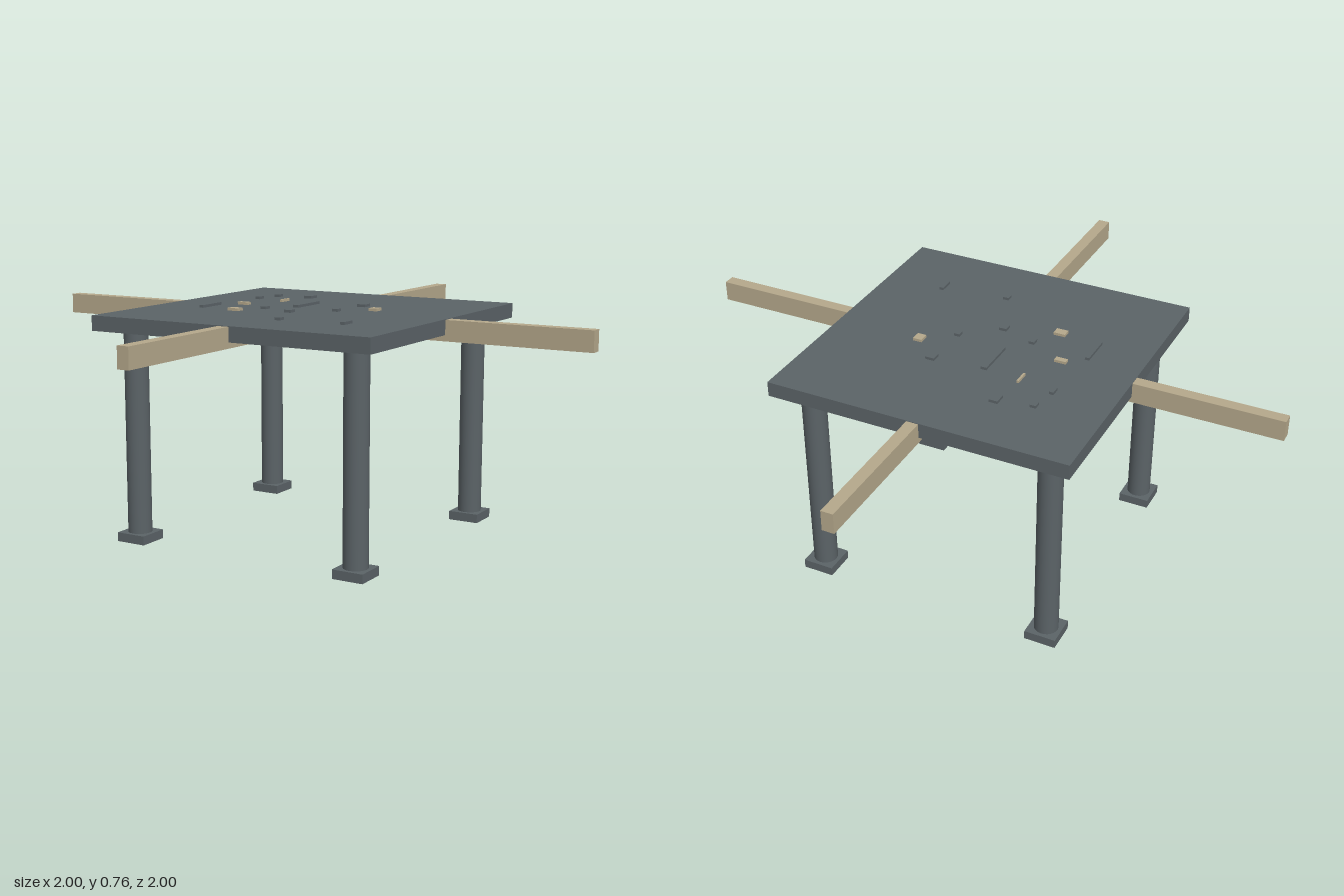
import * as THREE from 'three';

export function createModel() {
  const model = new THREE.Group();
  model.name = 'table';
  const slate = new THREE.MeshStandardMaterial({ color: 0x5b6367 });
  slate.name = 'slate grey';
  const wood = new THREE.MeshStandardMaterial({ color: 0xb5a88b });
  wood.name = 'pale wood';

  const add = (parent, name, geometry, material, x, y, z) => {
    const mesh = new THREE.Mesh(geometry, material);
    mesh.name = name;
    mesh.position.set(x, y, z);
    parent.add(mesh);
    return mesh;
  };
  const box = (w, h, d) => new THREE.BoxGeometry(w, h, d);

  // Square slab
  add(model, 'tableTop', box(1.02, 0.05, 1.02), slate, 0, 0.73, 0);

  // Crossed beams, just below the slab's upper face
  add(model, 'beamAcross', box(2, 0.068, 0.04), wood, 0, 0.719, 0);
  add(model, 'beamLengthwise', box(0.04, 0.067, 2), wood, 0, 0.7195, 0);

  // Round legs on square feet
  for (const x of [-0.41, 0.41]) {
    for (const z of [-0.41, 0.41]) {
      const leg = new THREE.Group();
      leg.name = 'leg';
      leg.position.set(x, 0, z);
      model.add(leg);
      add(leg, 'post', new THREE.CylinderGeometry(0.04, 0.04, 0.68, 24), slate, 0, 0.367, 0);
      add(leg, 'foot', box(0.106, 0.03, 0.106), slate, 0, 0.015, 0);
    }
  }

  // Small chips scattered on the slab: x, z, width, depth
  const scatter = (name, material, chips) => {
    for (const [x, z, w, d] of chips) add(model, name, box(w, 0.012, d), material, x, 0.758, z);
  };
  scatter('woodChip', wood, [
    [0.21, -0.07, 0.03, 0.035], [-0.26, 0, 0.04, 0.02],
    [-0.19, 0.16, 0.04, 0.03], [-0.19, -0.15, 0.007, 0.05],
  ]);
  scatter('stoneChip', slate, [
    [-0.31, -0.175, 0.015, 0.03], [-0.29, -0.27, 0.02, 0.025], [-0.17, -0.29, 0.03, 0.04],
    [-0.33, 0.1, 0.015, 0.11], [-0.06, -0.08, 0.02, 0.14], [-0.13, 0.07, 0.02, 0.025],
    [-0.01, 0.11, 0.025, 0.03], [0.11, 0.01, 0.02, 0.025], [0.12, -0.155, 0.03, 0.035],
    [0.07, 0.3, 0.02, 0.025], [0.3, 0.28, 0.015, 0.05],
  ]);

  return model;
}
